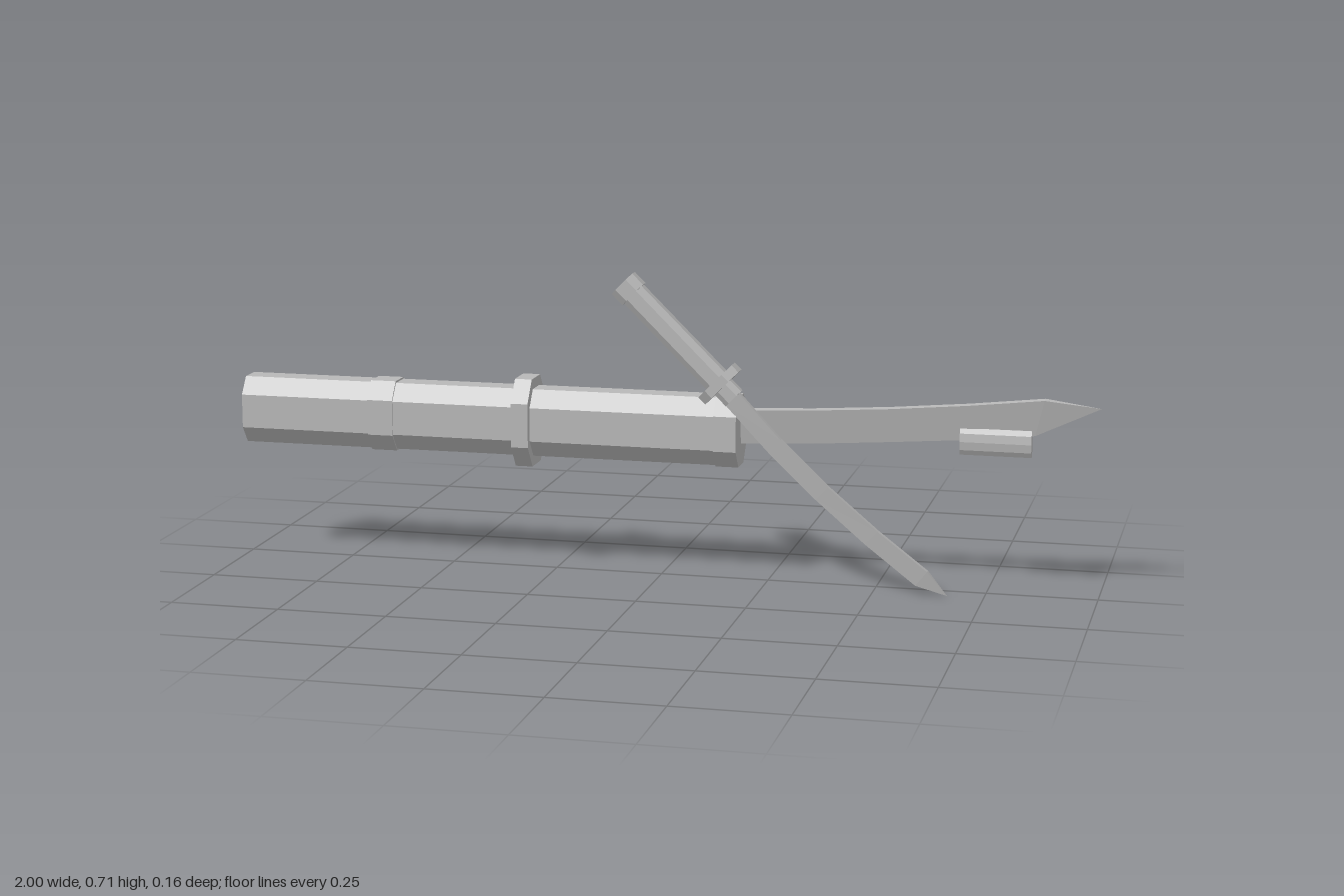
import * as THREE from 'three';

const grey = new THREE.MeshStandardMaterial({ color: 0xb8b8b8, flatShading: true });
grey.name = 'grey';

// Chamfered eight-sided bar along x, half height h and half depth d
function octBar(name, x0, x1, h, d) {
  const a = d * 0.48, b = h * 0.5;
  const pts = [[a, -h], [d, -b], [d, b], [a, h], [-a, h], [-d, b], [-d, -b], [-a, -h]];
  const shape = new THREE.Shape(pts.map(p => new THREE.Vector2(...p)));
  const geo = new THREE.ExtrudeGeometry(shape, { depth: x1 - x0, bevelEnabled: false });
  geo.rotateY(Math.PI / 2).translate(x0, 0, 0);
  const mesh = new THREE.Mesh(geo, grey);
  mesh.name = name;
  return mesh;
}

// Wedge blade: stations [spineX, spineY, edgeX, edgeY], thick spine, sharp edge, pointed tip
function blade(name, stations, tip, half) {
  const rings = stations.map(([sx, sy, ex, ey]) => [[sx, sy, half], [sx, sy, -half], [ex, ey, 0]]);
  const pos = [];
  const tri = (a, b, c) => pos.push(...a, ...b, ...c);
  const end = [...tip, 0];
  rings.forEach((r, i) => {
    const next = rings[i + 1];
    for (let k = 0; k < 3; k++) {
      const j = (k + 1) % 3;
      if (next) {
        tri(r[k], next[k], next[j]);
        tri(r[k], next[j], r[j]);
      } else tri(r[k], end, r[j]);
    }
  });
  tri(rings[0][0], rings[0][1], rings[0][2]);
  const geo = new THREE.BufferGeometry();
  geo.setAttribute('position', new THREE.Float32BufferAttribute(pos, 3));
  geo.computeVertexNormals();
  const mesh = new THREE.Mesh(geo, grey);
  mesh.name = name;
  return mesh;
}

export function createModel() {
  const model = new THREE.Group();
  model.name = 'crossedBlades';

  // Long sword, lying along x
  const sword = new THREE.Group();
  sword.name = 'longSword';
  sword.position.set(0, 0.35, -0.01);
  sword.add(
    octBar('handle', -1, -0.3, 0.078, 0.056),
    octBar('handleBand', -0.69, -0.63, 0.082, 0.059),
    octBar('guard', -0.34, -0.3, 0.102, 0.0725),
    octBar('sheath', -0.3, 0.14, 0.078, 0.056),
    octBar('sheathMouth', 0.13, 0.183, 0.081, 0.058),
    blade('longBlade', [
      [0.17, 0.048, 0.17, -0.032],
      [0.35, 0.056, 0.35, -0.023],
      [0.52, 0.067, 0.52, -0.011],
      [0.7, 0.083, 0.69, 0.002],
      [0.87, 0.102, 0.85, 0.019],
    ], [0.995, 0.087], 0.0135)
  );

  // Small eight-sided barrel under the blade tip
  const barrelGeo = new THREE.CylinderGeometry(1, 1, 0.16, 10);
  barrelGeo.rotateZ(Math.PI / 2).scale(1, 0.032, 0.0125);
  const barrel = new THREE.Mesh(barrelGeo, grey);
  barrel.name = 'barrel';
  barrel.position.set(0.763, 0, 0);
  sword.add(barrel);

  // Short sword, crossing in front at an angle
  const dagger = new THREE.Group();
  dagger.name = 'shortSword';
  dagger.position.set(-0.078, 0.687, 0.045);
  dagger.rotation.z = -0.778;
  dagger.add(
    octBar('pommel', 0, 0.035, 0.034, 0.026),
    octBar('grip', 0.03, 0.31, 0.029, 0.022),
    octBar('shortGuard', 0.303, 0.325, 0.054, 0.0375),
    octBar('bladeCollar', 0.32, 0.36, 0.025, 0.017),
    blade('shortBlade', [
      [0.35, 0.018, 0.35, -0.026],
      [0.5, 0.012, 0.5, -0.031],
      [0.65, 0.015, 0.65, -0.028],
      [0.8, 0.027, 0.8, -0.017],
      [0.94, 0.045, 0.945, 0.001],
    ], [1.01, 0.038], 0.007)
  );

  model.add(sword, dagger);
  return model;
}
